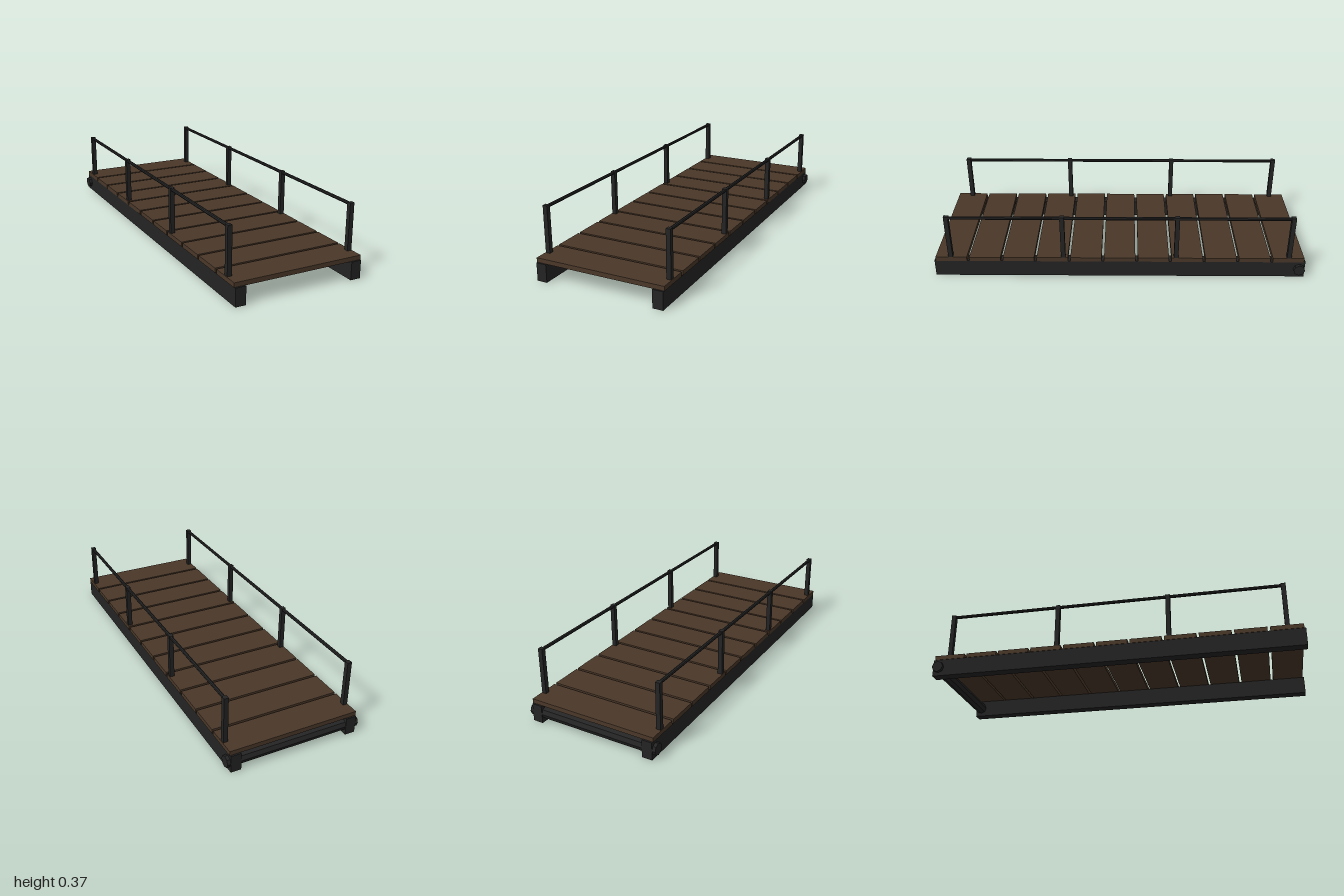
import * as THREE from 'three';

export function createModel() {
  const wood = new THREE.MeshStandardMaterial({ color: 0x4a3829 });
  wood.name = 'dark wood';
  const metal = new THREE.MeshStandardMaterial({ color: 0x242424 });
  metal.name = 'black metal';
  metal.flatShading = true;

  const model = new THREE.Group();
  model.name = 'gangway';

  const add = (name, geometry, material, x, y, z) => {
    const mesh = new THREE.Mesh(geometry, material);
    mesh.name = name;
    mesh.position.set(x, y, z);
    model.add(mesh);
    return mesh;
  };

  // Deck planks, evenly spaced with narrow gaps
  const plank = new THREE.BoxGeometry(0.7, 0.024, 0.168);
  for (let i = 0; i < 11; i++) {
    add('plank', plank, wood, 0, 0.106, (i - 5) * 0.1815);
  }

  const beam = new THREE.BoxGeometry(0.055, 0.095, 2);
  const post = new THREE.BoxGeometry(0.024, 0.26, 0.024);
  const rail = new THREE.CylinderGeometry(0.009, 0.009, 1.82, 8).rotateX(Math.PI / 2);

  for (const [side, s] of [['left', 1], ['right', -1]]) {
    // Long side beam under the deck
    add(side + 'Beam', beam, metal, s * 0.3195, 0.0475, 0);
    // Handrail on four posts
    for (let i = 0; i < 4; i++) {
      add(side + 'Post', post, metal, s * 0.335, 0.235, -0.91 + i * 0.6067);
    }
    add(side + 'Rail', rail, metal, s * 0.335, 0.356, 0);
  }

  // Hinge roller through the back ends of the beams
  const roller = new THREE.CylinderGeometry(0.031, 0.031, 0.728, 8).rotateZ(Math.PI / 2);
  add('hingeRoller', roller, metal, 0, 0.049, -0.969);

  return model;
}
